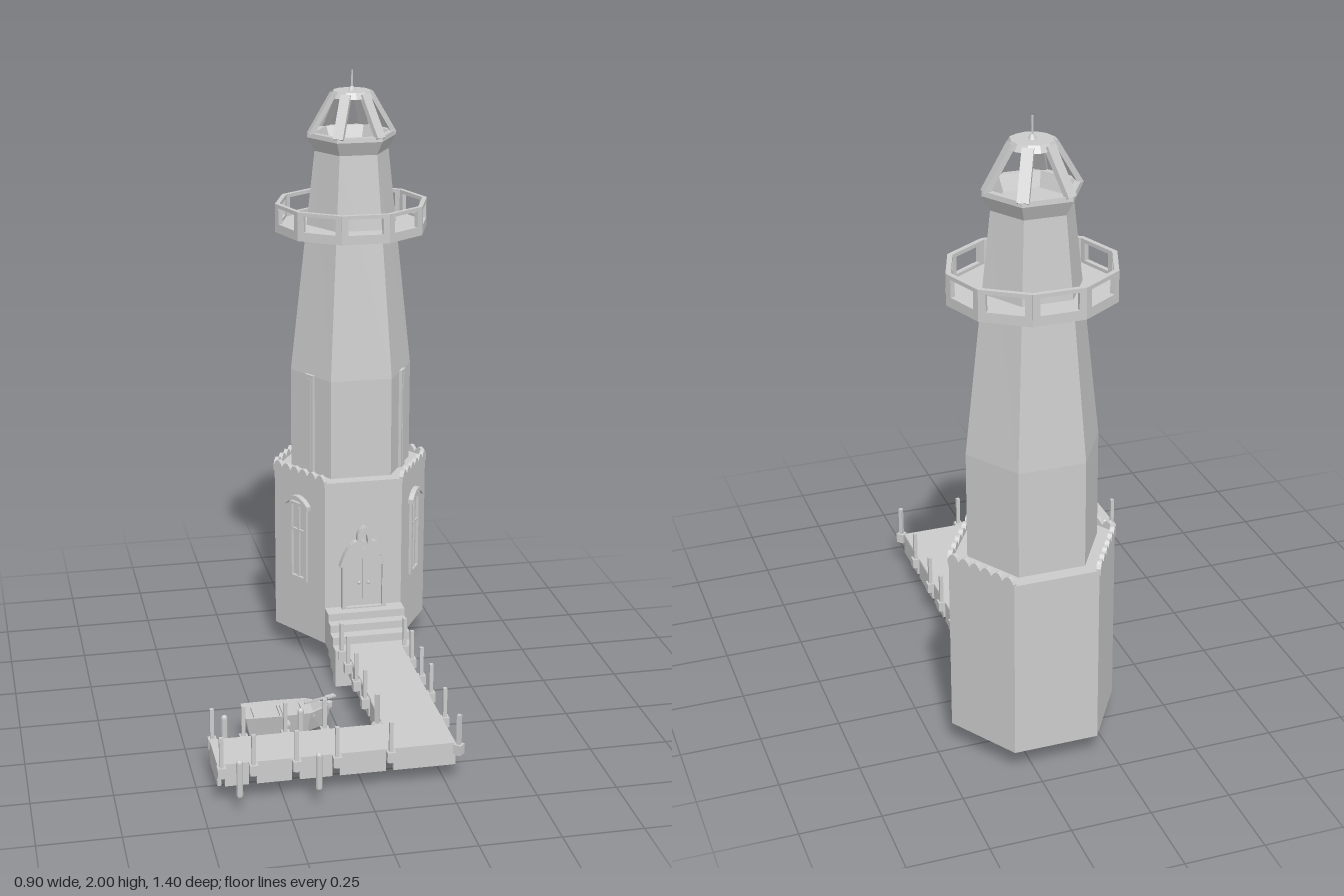
import * as THREE from 'three';

const material = new THREE.MeshStandardMaterial({ color: 0xcccccc, flatShading: true, side: THREE.DoubleSide });
const CX = 0.184, CZ = -0.479;

function add(parent, name, geometry, x = 0, y = 0, z = 0) {
  const mesh = new THREE.Mesh(geometry, material);
  mesh.name = name;
  mesh.position.set(x, y, z);
  parent.add(mesh);
  return mesh;
}
const box = (w, h, d) => new THREE.BoxGeometry(w, h, d);

// Skin a stack of equal-length rings of points with flat faces
function loft(rings) {
  const out = [], n = rings[0].length;
  for (let i = 0; i < rings.length - 1; i++) {
    for (let j = 0; j < n; j++) {
      const k = (j + 1) % n;
      const a = rings[i][j], b = rings[i][k], c = rings[i + 1][k], d = rings[i + 1][j];
      out.push(...a, ...d, ...c, ...a, ...c, ...b);
    }
  }
  const geometry = new THREE.BufferGeometry();
  geometry.setAttribute('position', new THREE.Float32BufferAttribute(out, 3));
  geometry.computeVertexNormals();
  return geometry;
}

// Polygonal ring with a corner on +x; zs squashes it in depth
function ring(n, r, y, zs = 1) {
  return Array.from({ length: n }, (_, i) => {
    const a = (i / n) * Math.PI * 2;
    return [r * Math.cos(a), y, r * Math.sin(a) * zs];
  });
}

// Group sitting on side k of a ring, with its local z pointing outward
function sideGroup(parent, name, n, k, r, zs) {
  const pts = ring(n, r, 0, zs), p = pts[k], q = pts[(k + 1) % n];
  const group = new THREE.Group();
  group.name = name;
  group.position.set((p[0] + q[0]) / 2, 0, (p[2] + q[2]) / 2);
  group.rotation.y = Math.atan2(q[2] - p[2], p[0] - q[0]);
  group.userData.width = Math.hypot(q[0] - p[0], q[2] - p[2]);
  parent.add(group);
  return group;
}

function polygon(points) {
  return new THREE.Shape(points.map(([x, y]) => new THREE.Vector2(x, y)));
}
const extrude = (shape, depth) => new THREE.ExtrudeGeometry(shape, { depth, bevelEnabled: false, curveSegments: 6 });

function buildTower() {
  const tower = new THREE.Group();
  tower.name = 'tower';
  tower.position.set(CX, 0, CZ);
  add(tower, 'base', loft([ring(6, 0, 0.08), ring(6, 0.264, 0.08, 0.93), ring(6, 0.264, 0.66, 0.93), ring(6, 0, 0.66)]));
  add(tower, 'shaft', loft([ring(6, 0.206, 0.66, 0.95), ring(6, 0.206, 1.0, 0.95), ring(6, 0.124, 1.74, 0.98)]));

  // Scalloped trim on the side faces of the base
  for (const k of [0, 2, 3, 5]) {
    const side = sideGroup(tower, 'scallopedTrim', 6, k, 0.264, 0.93);
    const w = side.userData.width, count = 6, step = w / count;
    const shape = new THREE.Shape();
    shape.moveTo(-w / 2, 0.645);
    shape.lineTo(-w / 2, 0.665);
    for (let i = 0; i < count; i++) {
      const x = -w / 2 + i * step;
      shape.quadraticCurveTo(x + step / 2, 0.705, x + step, 0.665);
    }
    shape.lineTo(w / 2, 0.645);
    add(side, 'scallops', extrude(shape, 0.014), 0, 0, -0.01);
  }

  // Windows on the base and tall strips on the shaft
  for (const k of [0, 2]) {
    const win = sideGroup(tower, 'baseWindow', 6, k, 0.264, 0.93);
    const frame = polygon([[-0.042, 0.28], [0.042, 0.28], [0.042, 0.56], [-0.042, 0.56]]);
    frame.holes.push(polygon([[-0.03, 0.292], [-0.03, 0.55], [0.03, 0.55], [0.03, 0.292]]));
    add(win, 'windowFrame', extrude(frame, 0.01));
    add(win, 'windowMullion', box(0.007, 0.26, 0.008), 0, 0.42, 0.003);
    add(win, 'windowCrossbar', box(0.062, 0.007, 0.008), 0, 0.46, 0.003);
    const hood = new THREE.Shape();
    hood.moveTo(-0.055, 0.55);
    hood.quadraticCurveTo(0, 0.605, 0.055, 0.55);
    hood.lineTo(0.055, 0.565);
    hood.quadraticCurveTo(0, 0.62, -0.055, 0.565);
    add(win, 'windowHood', extrude(hood, 0.018), 0, -0.005, 0);
    const strip = sideGroup(tower, 'shaftStrip', 6, k, 0.206, 0.95);
    add(strip, 'tallWindow', box(0.04, 0.345, 0.014), 0, 0.832, 0.003);
    add(strip, 'tallWindowPane', box(0.02, 0.32, 0.018), 0, 0.832, 0.003);
  }
  buildDoor(sideGroup(tower, 'door', 6, 1, 0.264, 0.93));

  // Gallery: floor slab and ten open railing panels
  add(tower, 'galleryFloor', loft([ring(10, 0, 1.475), ring(10, 0.256, 1.475, 0.925), ring(10, 0.256, 1.495, 0.925), ring(10, 0, 1.495)]));
  for (let k = 0; k < 10; k++) {
    const side = sideGroup(tower, 'galleryPanel', 10, k, 0.256, 0.925);
    const h = side.userData.width / 2, o = h - 0.022;
    const panel = polygon([[-h, 1.49], [h, 1.49], [h - 0.001, 1.57], [-h + 0.001, 1.57]]);
    panel.holes.push(polygon([[-o, 1.505], [-o, 1.558], [o, 1.558], [o, 1.505]]));
    add(side, 'railing', extrude(panel, 0.015), 0, 0, -0.015);
  }

  // Lantern: flared bowl, six slanted ribs, cap and finial
  const bowl = [[0.124, 1.74], [0.149, 1.785], [0.147, 1.8], [0.126, 1.8], [0.108, 1.755], [0, 1.755]];
  add(tower, 'lanternBowl', loft(bowl.map(([r, y]) => ring(6, r, y, 0.98))));
  for (let k = 0; k < 6; k++) {
    const arm = new THREE.Group();
    arm.name = 'lanternRib';
    arm.rotation.y = (k * Math.PI) / 3;
    tower.add(arm);
    const rib = add(arm, 'rib', box(0.016, 0.153, 0.034), 0.1, 1.86, 0);
    rib.rotation.z = Math.atan2(0.076, 0.13);
  }
  add(tower, 'lanternCap', new THREE.CylinderGeometry(0.062, 0.074, 0.02, 12), 0, 1.924, 0);
  add(tower, 'finialBase', new THREE.CylinderGeometry(0.006, 0.014, 0.014, 8), 0, 1.94, 0);
  add(tower, 'finial', new THREE.CylinderGeometry(0.003, 0.003, 0.06, 6), 0, 1.97, 0);
  return tower;
}

// Double door with pointed arch, moulded hood and handles
function buildDoor(door) {
  const arch = (w, top, spring, foot) => [[-w, foot], [w, foot], [w, spring], [w * 0.5, top - 0.03], [0, top], [-w * 0.5, top - 0.03], [-w, spring]];
  const frame = polygon(arch(0.076, 0.455, 0.375, 0.205));
  frame.holes.push(polygon(arch(0.062, 0.435, 0.365, 0.215).reverse()));
  add(door, 'doorFrame', extrude(frame, 0.022));
  add(door, 'doorLeaves', extrude(polygon(arch(0.062, 0.435, 0.365, 0.21)), 0.008));
  add(door, 'doorSeam', box(0.006, 0.21, 0.006), 0, 0.32, 0.009);
  for (const s of [-1, 1]) {
    add(door, 'doorHandle', new THREE.SphereGeometry(0.006, 8, 6), s * 0.016, 0.3, 0.013);
    const hood = new THREE.Shape();
    hood.moveTo(s * 0.085, 0.365);
    hood.quadraticCurveTo(s * 0.06, 0.45, s * 0.025, 0.455);
    hood.quadraticCurveTo(s * 0.03, 0.49, 0, 0.505);
    hood.lineTo(0, 0.485);
    hood.quadraticCurveTo(s * 0.012, 0.475, s * 0.01, 0.445);
    hood.quadraticCurveTo(s * 0.05, 0.43, s * 0.07, 0.365);
    add(door, 'doorHood', extrude(hood, 0.026));
  }
}

function buildPier() {
  const pier = new THREE.Group();
  pier.name = 'pier';

  // Stairs, stepped above and below
  const profile = [[0.09, 0], [0.09, 0.13], [0.135, 0.13], [0.135, 0.158], [0.175, 0.158], [0.175, 0.184], [0.212, 0.184],
    [0.212, 0.21], [0.275, 0.21], [0.275, 0.08], [0.21, 0.08], [0.21, 0.06], [0.175, 0.06], [0.175, 0.035], [0.132, 0.035], [0.132, 0]];
  const stairs = add(pier, 'stairs', extrude(polygon(profile), 0.264), 0.053, 0, 0);
  stairs.rotation.y = Math.PI / 2;

  add(pier, 'deckWalk', box(0.19, 0.03, 0.55), 0.185, 0.115, 0.175);
  add(pier, 'deckEnd', box(0.73, 0.03, 0.165), -0.085, 0.115, 0.5325);

  // Posts with brackets
  const zs = [-0.095, 0.007, 0.138, 0.265, 0.44], xs = [-0.44, -0.343, -0.213, -0.09, 0.075];
  function post(x, z, turn = 0) {
    const group = new THREE.Group();
    group.name = 'railPost';
    group.position.set(x, 0, z);
    group.rotation.y = turn;
    pier.add(group);
    add(group, 'bracket', box(0.026, 0.032, 0.026), 0, 0.114, 0);
    add(group, 'pole', box(0.012, 0.135, 0.012), 0, 0.16, 0);
  }
  zs.forEach((z, i) => { post(0.29, z); if (i < 4) post(0.075, z); });
  xs.forEach((x, i) => { post(x, 0.63); post(x, 0.44, i === 4 ? Math.PI / 4 : 0); });
  post(0.287, 0.625, Math.PI / 4);

  // Skirt boards hanging between the posts
  const gap = 0.012, h = 0.07, y = 0.092;
  for (const [x, stops] of [[0.275, [...zs, 0.625]], [0.095, zs]]) {
    for (let i = 0; i < stops.length - 1; i++)
      add(pier, 'skirtBoard', box(0.012, h, stops[i + 1] - stops[i] - 2 * gap), x, y, (stops[i] + stops[i + 1]) / 2);
  }
  for (const [z, stops] of [[0.609, [...xs, 0.285]], [0.456, xs]]) {
    for (let i = 0; i < stops.length - 1; i++)
      add(pier, 'skirtBoard', box(stops[i + 1] - stops[i] - 2 * gap, h, 0.012), (stops[i] + stops[i + 1]) / 2, y, z);
  }
  add(pier, 'endBoard', box(0.012, h, 0.15), -0.444, y, 0.5325);

  // Round mooring piles
  for (const x of [-0.395, -0.157]) for (const z of [0.395, 0.69])
    add(pier, 'mooringPile', new THREE.CapsuleGeometry(0.01, 0.105, 3, 8), x, 0.118, z);
  return pier;
}

function buildBoat() {
  const boat = new THREE.Group();
  boat.name = 'rowingBoat';
  boat.position.set(-0.2, 0, 0.273);
  // Hull outline shrinks towards the keel; the inner skin follows it back down
  const outline = [[0.165, 0], [0.14, 0.02], [0.09, 0.054], [-0.02, 0.058], [-0.117, 0.055], [-0.117, -0.055], [-0.02, -0.058], [0.09, -0.054], [0.14, -0.02]];
  const hullRing = (s, t, y) => outline.map(([x, z]) => [x * s, y, z * t]);
  add(boat, 'hull', loft([hullRing(0, 0, 0.055), hullRing(0.88, 0.68, 0.055), hullRing(1, 1, 0.125),
    hullRing(0.94, 0.86, 0.125), hullRing(0.84, 0.6, 0.068), hullRing(0, 0, 0.068)]));
  for (const x of [-0.07, 0.012, 0.085])
    add(boat, 'seat', box(0.034, 0.008, 0.092), x, 0.112, 0);
  add(boat, 'bowKnob', new THREE.CylinderGeometry(0.01, 0.01, 0.016, 8), 0.158, 0.124, 0);
  // Oars resting on the rim
  for (const [x, z, turn, length] of [[0, 0, -Math.PI / 2, 0.135], [0.078, 0, 0.35, 0.11]]) {
    const oar = new THREE.Group();
    oar.name = 'oar';
    oar.position.set(x, 0.134, z);
    oar.rotation.y = turn;
    boat.add(oar);
    add(oar, 'oarShaft', box(length, 0.006, 0.006), length / 2, 0, 0);
    add(oar, 'oarBlade', box(0.03, 0.005, 0.017), length - 0.013, 0, 0);
  }
  return boat;
}

export function createModel() {
  const model = new THREE.Group();
  model.name = 'lighthouse';
  model.add(buildTower(), buildPier(), buildBoat());
  return model;
}
